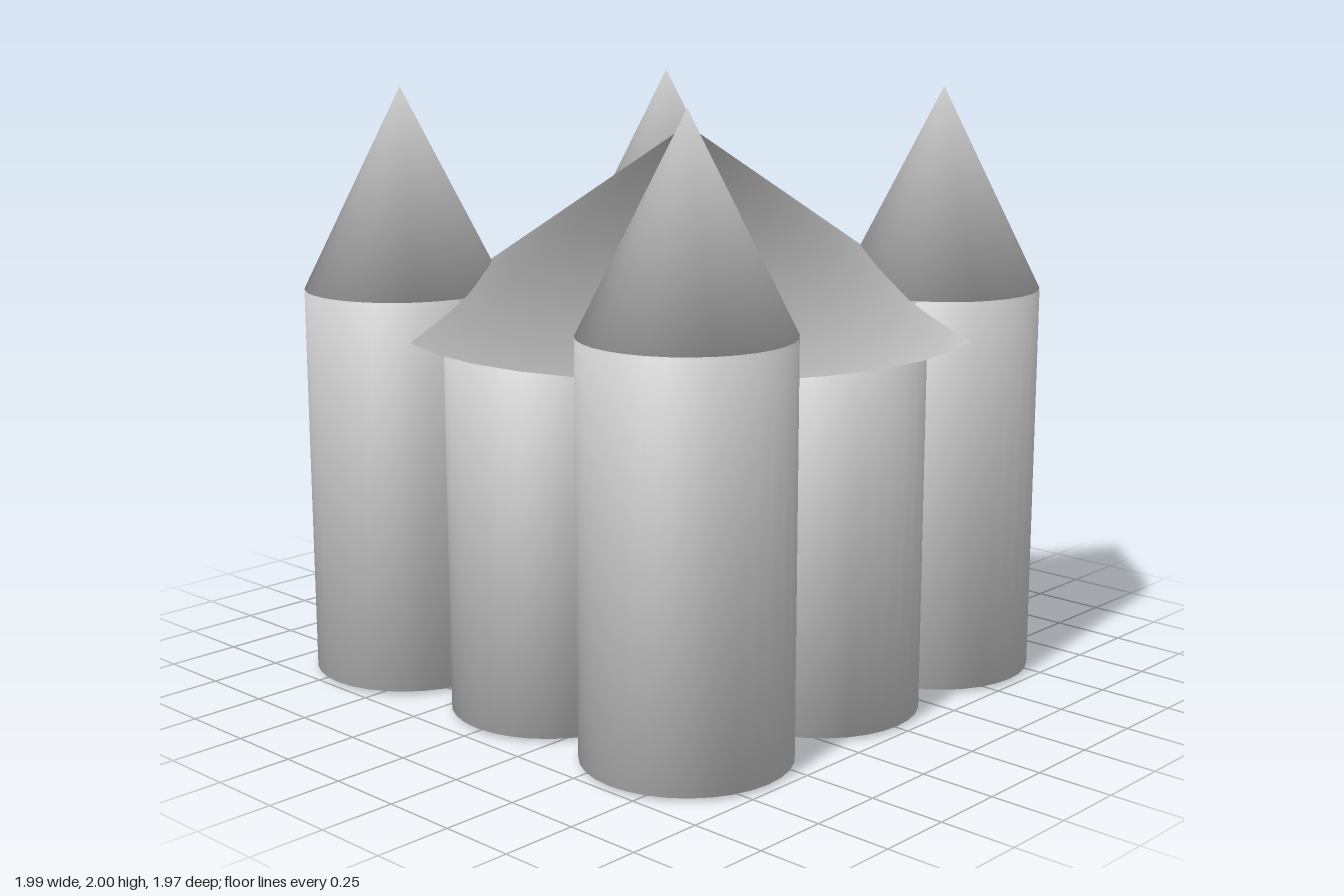
import * as THREE from 'three';

const material = new THREE.MeshStandardMaterial({ color: 0xcccccc, side: THREE.DoubleSide });

// Shared soft normals: rims lean outward by `out` and up or down by `rise`, axis points stay vertical
function soften(geometry, out, rise) {
  const p = geometry.attributes.position;
  const n = geometry.attributes.normal;
  const v = new THREE.Vector3();
  for (let i = 0; i < p.count; i++) {
    v.fromBufferAttribute(p, i);
    const r = Math.hypot(v.x, v.z);
    const side = Math.sign(v.y);
    if (r < 1e-4) v.set(0, side, 0);
    else v.set((v.x / r) * out, side * rise, (v.z / r) * out).normalize();
    n.setXYZ(i, v.x, v.y, v.z);
  }
  return geometry;
}

// Unit solids, scaled into place
const unitCylinder = soften(new THREE.CylinderGeometry(0.5, 0.5, 1, 32), 1, 1);
const unitCone = soften(new THREE.ConeGeometry(0.5, 1, 32), 0.894, 0.553);
const unitBox = soften(new THREE.BoxGeometry(1, 1, 1), Math.SQRT2, 1);

export function createModel() {
  const model = new THREE.Group();
  model.name = 'castle';

  // Places a unit solid by its centre, footprint and vertical span
  const add = (name, geometry, x, z, width, depth, bottom, top) => {
    const mesh = new THREE.Mesh(geometry, material);
    mesh.name = name;
    mesh.position.set(x, (bottom + top) / 2, z);
    mesh.scale.set(width, top - bottom, depth);
    model.add(mesh);
  };

  const d = 0.67; // tower diameter

  // Square core between the towers
  add('core', unitBox, 0.01, -0.02, 1.19, 1.2, 0, 1.19);

  // Tall corner towers with pointed roofs
  const corners = [
    ['frontLeft', 0.64, 0.65],
    ['frontRight', -0.663, 0.65],
    ['backLeft', 0.64, -0.6],
    ['backRight', -0.635, -0.6],
  ];
  for (const [name, x, z] of corners) {
    add(name + 'Tower', unitCylinder, x, z, d, d, 0.01, 1.32);
    add(name + 'TowerRoof', unitCone, x, z, d, d, 1.33, 2);
  }

  // Lower towers in the middle of each side
  const middles = [
    ['front', 0, 0.61],
    ['back', 0, -0.62],
    ['left', 0.63, 0.01],
    ['right', -0.63, 0.01],
  ];
  for (const [name, x, z] of middles) {
    add(name + 'MiddleTower', unitCylinder, x, z, d, d, 0.01, 1.19);
  }

  // Wide central roof
  add('mainRoof', unitCone, 0.012, -0.023, 1.965, 1.93, 1.2, 1.87);

  return model;
}
